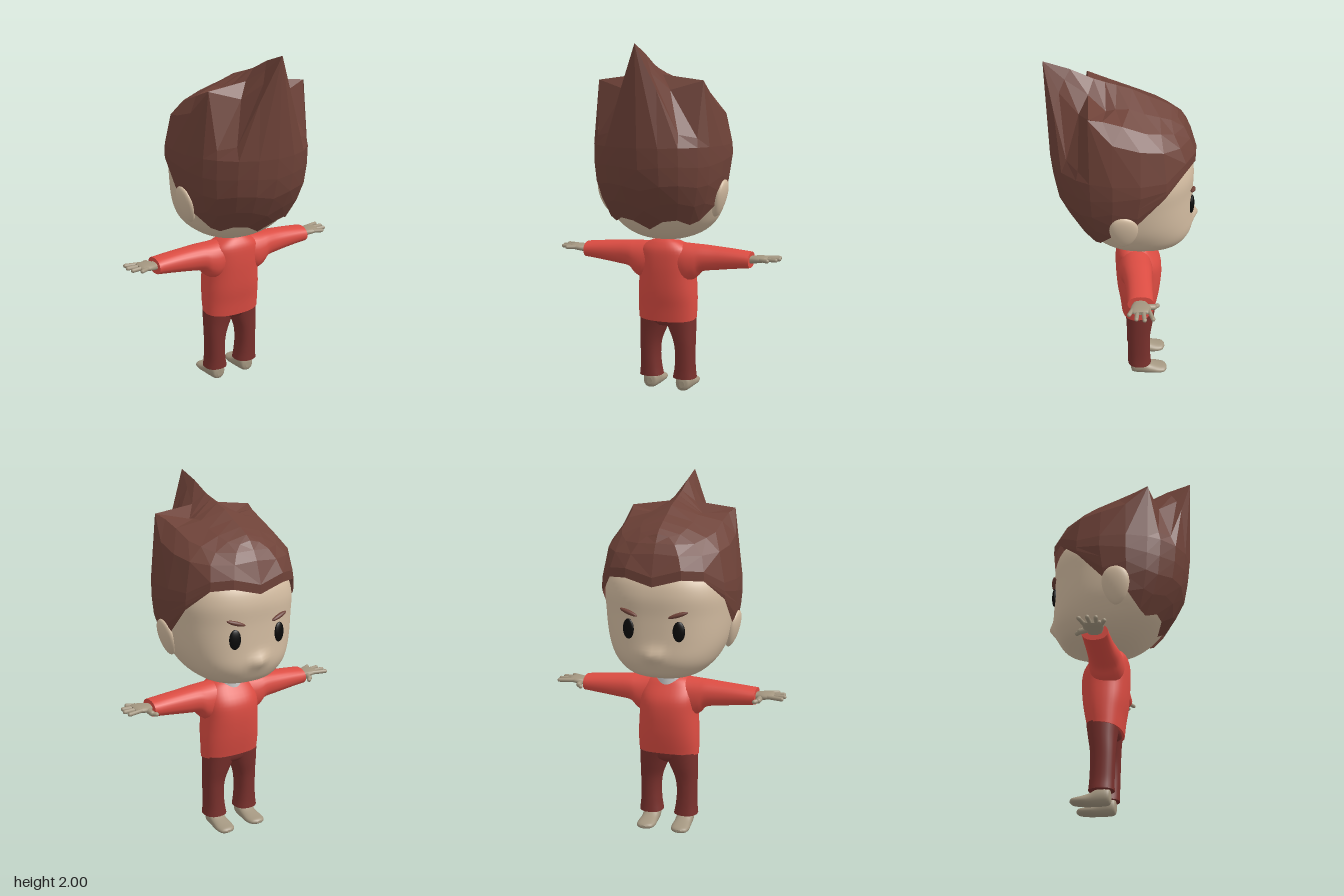
import * as THREE from 'three';

const mat = (color, extra = {}) => new THREE.MeshStandardMaterial({ color, ...extra });

function add(parent, name, geometry, material) {
  const mesh = new THREE.Mesh(geometry, material);
  mesh.name = name;
  parent.add(mesh);
  return mesh;
}

// Point at angle a on an oval; power > 2 squares it off
function oval(a, power) {
  const f = (v) => Math.sign(v) * Math.pow(Math.abs(v), 2 / power);
  return [f(Math.cos(a)), f(Math.sin(a))];
}

// Smooth closed loft of ovals along y, rows are [y, xMin, xMax, zMin, zMax]
function loft(rows, { seg = 24, steps = 24, power = 2, deform } = {}) {
  const curve = (f) => new THREE.CatmullRomCurve3(rows.map(f), false, 'catmullrom');
  const cx = curve((r) => new THREE.Vector3(r[0], r[1], r[2]));
  const cz = curve((r) => new THREE.Vector3(r[0], r[3], r[4]));
  const pos = [], index = [];
  const last = steps + 4;
  for (let j = 0; j <= last; j++) {
    const t = THREE.MathUtils.clamp((j - 2) / steps, 0, 1);
    const size = j === 0 || j === last ? 0 : 1;
    const p = cx.getPoint(t), q = cz.getPoint(t);
    for (let i = 0; i < seg; i++) {
      const [c, s] = oval((i / seg) * Math.PI * 2, power);
      const v = new THREE.Vector3((p.y + p.z) / 2 + size * c * (p.z - p.y) / 2, p.x,
        (q.y + q.z) / 2 + size * s * (q.z - q.y) / 2);
      if (deform) deform(v);
      pos.push(v.x, v.y, v.z);
      if (j < last) {
        const a = j * seg + i, b = j * seg + (i + 1) % seg;
        index.push(a, a + seg, b, b, a + seg, b + seg);
      }
    }
  }
  return build(pos, index);
}

function build(pos, index) {
  const g = new THREE.BufferGeometry();
  g.setAttribute('position', new THREE.Float32BufferAttribute(pos, 3));
  g.setIndex(index);
  g.computeVertexNormals();
  return g;
}

// Hair shell outline by height: [y, half width, back z, front z]
const SHELL = [[0.98, 0.25, 0.19, -0.1], [1.1, 0.325, 0.29, -0.22], [1.25, 0.37, 0.37, -0.34],
  [1.4, 0.385, 0.4, -0.39], [1.56, 0.37, 0.405, -0.39]];

function shellPoint(a, y) {
  let k = 0;
  while (k < SHELL.length - 2 && y > SHELL[k + 1][0]) k++;
  const t = (y - SHELL[k][0]) / (SHELL[k + 1][0] - SHELL[k][0]);
  const [w, b, f] = [1, 2, 3].map((n) => THREE.MathUtils.lerp(SHELL[k][n], SHELL[k + 1][n], t));
  const [c, s] = oval(a, a > Math.PI / 2 ? 2.4 : 2);
  return [w * s, y, (b + f) / 2 + c * (b - f) / 2];
}

// Faceted hair: columns run from back centre round to front centre, mirrored in x
function hairGeometry() {
  const line = [[0, 1], [17, 1.05], [33, 1.06], [50, 1.03], [62, 1.05], [80, 1.13], [98, 1.2],
    [118, 1.37], [140, 1.48], [160, 1.49], [180, 1.45]];
  const rim = [[0, 2, 0.42], [0.1, 1.765, 0.37], [0.2, 1.53, 0.31], [0.285, 1.51, 0.25],
    [0.3, 1.81, 0.195], [0.335, 1.68, 0.07], [0.335, 1.64, -0.07], [0.31, 1.62, -0.19],
    [0.24, 1.61, -0.28], [0.13, 1.61, -0.34], [0, 1.62, -0.35]];
  const crest = [[0, 2, 0.42], [0.06, 1.85, 0.34], [0.13, 1.76, 0.24], [0.3, 1.81, 0.19],
    [0.28, 1.79, 0.12], [0.27, 1.755, 0.02], [0.265, 1.71, -0.1], [0.235, 1.69, -0.18],
    [0.19, 1.665, -0.25], [0.1, 1.665, -0.31], [0, 1.67, -0.32]];
  const inner = [[0, 2, 0.42], [0.03, 1.91, 0.31], [0.07, 1.84, 0.19], [0.14, 1.78, 0.1],
    [0.14, 1.79, 0.05], [0.14, 1.79, -0.02], [0.14, 1.76, -0.1], [0.13, 1.735, -0.18],
    [0.11, 1.71, -0.24], [0.06, 1.7, -0.28], [0, 1.7, -0.295]];
  const ridge = [[2, 0.42], [1.955, 0.28], [1.9, 0.16], [1.88, 0.1], [1.862, 0.04], [1.838, -0.04],
    [1.8, -0.12], [1.77, -0.19], [1.74, -0.25], [1.715, -0.285], [1.715, -0.285]];
  const pos = [], index = [];
  for (const side of [1, -1]) {
    const base = pos.length / 3;
    line.forEach(([deg, low], i) => {
      const a = THREE.MathUtils.degToRad(deg);
      const top = Math.max(1.46, low + 0.05);
      const column = [0, 0.25, 0.5, 0.75, 1].map((t) => shellPoint(a, low + (top - low) * t));
      column.push(rim[i], crest[i], inner[i], [0, ...ridge[i]]);
      for (const [x, y, z] of column) pos.push(x * side, y, z);
      if (i === line.length - 1) return;
      const n = column.length;
      for (let j = 0; j < n - 1; j++) {
        const p = base + i * n + j, q = p + n;
        if (side > 0) index.push(p, q, p + 1, q, q + 1, p + 1);
        else index.push(p, p + 1, q, q, p + 1, q + 1);
      }
    });
  }
  return build(pos, index);
}

// Rounded finger between two points
function finger(parent, name, from, to, r, material) {
  const a = new THREE.Vector3(...from), b = new THREE.Vector3(...to);
  const dir = b.clone().sub(a);
  const mesh = add(parent, name, new THREE.CapsuleGeometry(r, dir.length() - r, 4, 10), material);
  mesh.position.copy(a).add(b).multiplyScalar(0.5);
  mesh.quaternion.setFromUnitVectors(new THREE.Vector3(0, 1, 0), dir.normalize());
}

export function createModel() {
  const model = new THREE.Group();
  model.name = 'figure';
  const skin = mat(0xd2bba0), limbSkin = mat(0xa39680), black = mat(0x0a0a0a), white = mat(0xcccccc);
  const hairMat = mat(0x6e4238, { flatShading: true, side: THREE.DoubleSide });
  const browMat = mat(0x6e4238), shirt = mat(0xdb4c42), trousers = mat(0x78302c);

  // Head with a small nose
  add(model, 'head', loft([[0.91, -0.04, 0.04, -0.17, -0.04], [0.92, -0.12, 0.12, -0.24, 0.04],
    [0.95, -0.2, 0.2, -0.32, 0.11], [1, -0.26, 0.26, -0.36, 0.175], [1.06, -0.3, 0.3, -0.38, 0.23],
    [1.15, -0.335, 0.335, -0.378, 0.29], [1.28, -0.355, 0.355, -0.375, 0.34],
    [1.4, -0.36, 0.36, -0.375, 0.36], [1.5, -0.32, 0.32, -0.335, 0.33],
    [1.6, -0.2, 0.2, -0.21, 0.2], [1.62, -0.05, 0.05, -0.05, 0.05]],
  { seg: 64, steps: 50, power: 2.4, deform: (v) => {
    if (v.z < -0.2) v.z -= 0.033 * Math.exp(-((v.x / 0.045) ** 2) - ((v.y - 1.08) / 0.04) ** 2);
  } }), skin);
  add(model, 'hair', hairGeometry(), hairMat);
  add(model, 'neck', new THREE.CylinderGeometry(0.072, 0.075, 0.12, 32).translate(0, 0.885, -0.08), white);

  // Shirt body, hem lower at the back
  add(model, 'shirt', loft([[0.445, -0.172, 0.172, -0.18, 0.015], [0.52, -0.174, 0.174, -0.195, 0.025],
    [0.6, -0.172, 0.172, -0.207, 0.04], [0.7, -0.165, 0.165, -0.215, 0.048],
    [0.78, -0.165, 0.165, -0.205, 0.05], [0.85, -0.15, 0.15, -0.16, 0.045],
    [0.89, -0.1, 0.1, -0.125, 0.025], [0.91, -0.05, 0.05, -0.06, 0.005]],
  { seg: 40, power: 2.4, deform: (v) => {
    v.y -= (v.z + 0.08) * 0.15 * THREE.MathUtils.clamp((0.6 - v.y) / 0.15, 0, 1);
  } }), shirt);
  add(model, 'trouserSeat', loft([[0.4, -0.12, 0.12, -0.14, -0.02], [0.43, -0.16, 0.16, -0.17, 0],
    [0.5, -0.165, 0.165, -0.18, 0.01]], { seg: 32, steps: 8, power: 2.4 }), trousers);

  // Parts that come in pairs
  for (const side of [1, -1]) {
    const half = new THREE.Group();
    half.name = side > 0 ? 'pairedPartsPlusX' : 'pairedPartsMinusX';
    half.scale.x = side;
    model.add(half);

    // Ear, broader at the top and leaning out
    const earGeo = new THREE.SphereGeometry(1, 24, 16).scale(0.032, 0.108, 0.075);
    const p = earGeo.attributes.position;
    for (let i = 0; i < p.count; i++) p.setZ(i, p.getZ(i) * (1 + p.getY(i) * 2));
    earGeo.computeVertexNormals();
    const ear = add(half, 'ear', earGeo, skin);
    ear.position.set(0.34, 1.165, 0.015);
    ear.rotation.z = -0.27;

    const eye = add(half, 'eye', new THREE.SphereGeometry(1, 24, 16).scale(0.033, 0.055, 0.014), black);
    eye.position.set(0.14, 1.215, -0.362);
    eye.rotation.y = -0.2;
    const brow = add(half, 'eyebrow', new THREE.SphereGeometry(1, 16, 10).scale(0.055, 0.012, 0.014), browMat);
    brow.position.set(0.137, 1.305, -0.366);
    brow.rotation.set(0, -0.2, 0.3);

    // Sleeve, lofted outwards along x
    add(half, 'sleeve', loft([[0.07, -0.89, -0.7, -0.15, 0.03], [0.13, -0.887, -0.67, -0.155, 0.035],
      [0.18, -0.884, -0.69, -0.155, 0.03], [0.22, -0.882, -0.73, -0.15, 0.02],
      [0.3, -0.876, -0.743, -0.145, 0.008], [0.4, -0.868, -0.756, -0.142, 0.002],
      [0.5, -0.858, -0.768, -0.14, 0]], { power: 2.2 }).rotateZ(-Math.PI / 2), shirt);

    // Hand
    add(half, 'palm', loft([[0.46, -0.835, -0.795, -0.1, -0.04], [0.5, -0.835, -0.795, -0.105, -0.03],
      [0.54, -0.84, -0.8, -0.122, -0.016], [0.58, -0.84, -0.808, -0.12, -0.014],
      [0.6, -0.835, -0.815, -0.105, -0.03]], { steps: 14, power: 2.4 }).rotateZ(-Math.PI / 2), limbSkin);
    [[-0.108, 0.655, -0.13], [-0.08, 0.662, -0.084], [-0.052, 0.652, -0.04], [-0.026, 0.612, -0.002]]
      .forEach(([z0, x1, z1]) =>
        finger(half, 'finger', [0.56, 0.824, z0], [x1, 0.824, z1], 0.0115, limbSkin));
    finger(half, 'thumb', [0.53, 0.815, -0.1], [0.523, 0.808, -0.148], 0.016, limbSkin);
    finger(half, 'thumbTip', [0.525, 0.808, -0.14], [0.502, 0.805, -0.165], 0.012, limbSkin);

    // Trouser leg
    add(half, 'trouserLeg', loft([[0.085, 0.035, 0.172, -0.158, -0.02], [0.14, 0.045, 0.166, -0.153, -0.02],
      [0.22, 0.05, 0.165, -0.15, -0.018], [0.3, 0.04, 0.166, -0.152, -0.015],
      [0.38, 0.008, 0.167, -0.165, -0.01], [0.46, -0.03, 0.167, -0.178, 0]], { power: 2.3 }), trousers);

    // Foot, lofted from heel to toe
    add(half, 'foot', loft([[0.038, 0.085, 0.115, 0.03, 0.07], [0.05, 0.06, 0.14, 0.01, 0.1],
      [0.1, 0.052, 0.148, 0.005, 0.1], [0.15, 0.05, 0.15, 0.006, 0.073],
      [0.2, 0.048, 0.154, 0.01, 0.058], [0.238, 0.06, 0.146, 0.016, 0.05],
      [0.254, 0.09, 0.12, 0.026, 0.04]], { power: 2.2 }).rotateX(-Math.PI / 2), limbSkin);
  }
  return model;
}
